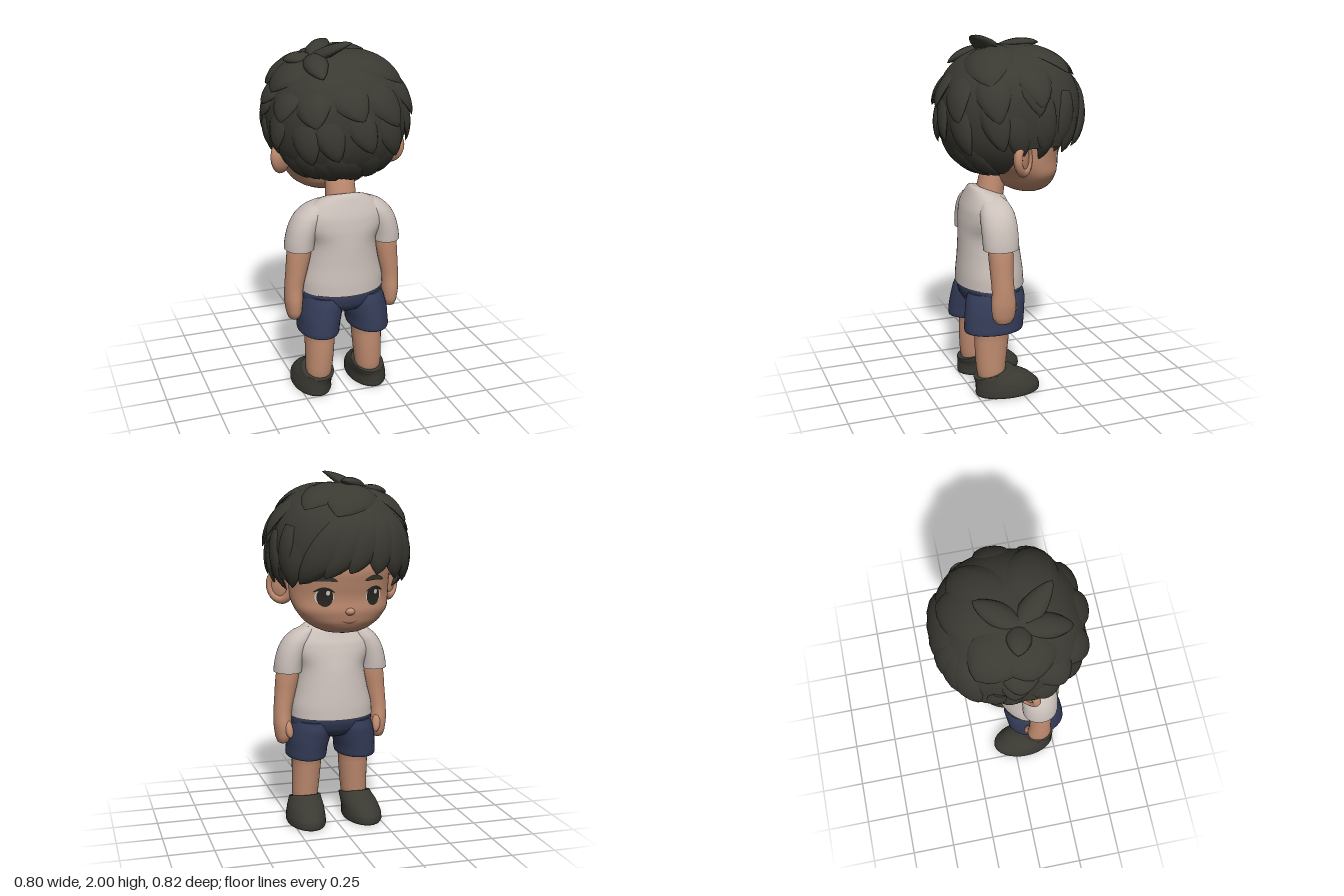
import * as THREE from 'three';
import { toCreasedNormals } from 'three/addons/utils/BufferGeometryUtils.js';

const V = (x, y, z) => new THREE.Vector3(x, y, z);
const paint = (name, color) => Object.assign(new THREE.MeshStandardMaterial({ color }), { name });

// Closed skin over a list of equal-length rings, capped at both ends
function skinRings(rows) {
  const n = rows[0].length, pos = [], idx = [];
  rows.forEach(r => r.forEach(p => pos.push(p.x, p.y, p.z)));
  for (let i = 0; i < rows.length - 1; i++) for (let j = 0; j < n; j++) {
    const a = i * n + j, b = i * n + (j + 1) % n;
    idx.push(a, a + n, b, b, a + n, b + n);
  }
  for (const end of [0, rows.length - 1]) {
    const c = rows[end].reduce((s, p) => s.add(p), V(0, 0, 0)).divideScalar(n);
    const k = pos.length / 3;
    pos.push(c.x, c.y, c.z);
    for (let j = 0; j < n; j++) {
      const a = end * n + j, b = end * n + (j + 1) % n;
      idx.push(k, ...(end === 0 ? [a, b] : [b, a]));
    }
  }
  const g = new THREE.BufferGeometry();
  g.setAttribute('position', new THREE.Float32BufferAttribute(pos, 3));
  g.setIndex(idx);
  return toCreasedNormals(g, 1.0);
}

// Rings are [x, y, z, rx, rz, tilt], listed from bottom to top and smoothed between
function ringCurve(rings) {
  const c = new THREE.CatmullRomCurve3(rings.map(r => V(r[0], r[1], r[2])));
  const s = new THREE.CatmullRomCurve3(rings.map(r => V(r[3], r[4], r[5] || 0)));
  return t => ({ c: c.getPoint(t), s: s.getPoint(t) });
}
function loft(rings, sides = 32, sub = 4) {
  const at = ringCurve(rings), rows = [], steps = (rings.length - 1) * sub;
  for (let i = 0; i <= steps; i++) {
    const { c, s } = at(i / steps), row = [];
    for (let j = 0; j < sides; j++) {
      const a = j / sides * Math.PI * 2, dz = Math.sin(a) * s.y;
      row.push(V(c.x + Math.cos(a) * s.x, c.y + dz * s.z, c.z + dz));
    }
    rows.push(row);
  }
  return skinRings(rows);
}

const HEAD = [
  [0, 1.13, -.12, .03, .025], [0, 1.14, -.11, .1, .08], [0, 1.165, -.1, .16, .125],
  [0, 1.2, -.09, .21, .158], [0, 1.26, -.08, .255, .185], [0, 1.33, -.035, .276, .232],
  [0, 1.4, -.02, .283, .263], [0, 1.5, -.01, .29, .29], [0, 1.65, .015, .28, .265], [0, 1.78, .02, .18, .17],
];
// Depth of the face surface at a given x and y
function faceZ(x, y) {
  const at = ringCurve(HEAD);
  let lo = 0, hi = 1;
  for (let i = 0; i < 24; i++) { const m = (lo + hi) / 2; if (at(m).c.y < y) lo = m; else hi = m; }
  const { c, s } = at(lo);
  return c.z - s.y * Math.sqrt(Math.max(0, 1 - (x / s.x) ** 2));
}
// Thin painted oval lying on the face; bend curves it
function facePatch(cx, cy, rx, ry, off, bend = 0) {
  const g = new THREE.RingGeometry(0.001, 1, 28, 4).rotateY(Math.PI), p = g.attributes.position;
  for (let i = 0; i < p.count; i++) {
    const u = p.getX(i), x = cx + u * rx, y = cy + p.getY(i) * ry + bend * u * u;
    p.setXYZ(i, x, y, faceZ(x, y) - off);
  }
  g.computeVertexNormals();
  return g;
}

// Hair volume: a slightly boxy ellipsoid
const HC = V(0, 1.58, 0), CROWN = V(-.15, .35, .03).normalize();
function hairPoint(d, k = 1) {
  const p = 2.3;
  const s = (Math.abs(d.x / .382) ** p + Math.abs(d.y / .358) ** p + Math.abs(d.z / .387) ** p) ** (-1 / p);
  return d.clone().multiplyScalar(s * k).add(HC);
}
// Azimuth 0 is the back of the head, 180 the face
const direction = (az, el) => {
  const a = az * Math.PI / 180, e = el * Math.PI / 180;
  return V(Math.cos(e) * Math.sin(a), Math.sin(e), Math.cos(e) * Math.cos(a));
};
function hairline(az) {
  const a = Math.abs(((az + 540) % 360) - 180), sm = THREE.MathUtils.smoothstep;
  return -52 + 30 * sm(a, 62, 88) + 14 * sm(a, 112, 160);
}
function hairCap() {
  const rows = [], n = 72, m = 22;
  for (let i = -1; i <= m; i++) {
    const row = [];
    for (let j = 0; j < n; j++) {
      const az = -j / n * 360, low = hairline(az);
      row.push(i < 0 ? hairPoint(direction(az, low), .6)
        : hairPoint(direction(az, low + (89 - low) * i / m), .99));
    }
    rows.push(row);
  }
  return skinRings(rows);
}
// Leaf-shaped lock hugging the hair volume; its root sinks in and its tip lifts off
function hairLock(tip, t0, W, H, lift, sink = 0, from = CROWN) {
  tip = tip.clone().normalize();
  const axis = from.clone().cross(tip).normalize(), ang = from.angleTo(tip), rows = [];
  for (let i = 0; i <= 14; i++) {
    const u = i / 14, d = from.clone().applyAxisAngle(axis, ang * (t0 + (1 - t0) * u));
    const k = Math.max(.01, Math.sin(Math.PI * (.15 + .85 * u))) ** .65, row = [];
    for (let j = 0; j < 12; j++) {
      const b = j / 12 * Math.PI * 2;
      const e = d.clone().addScaledVector(axis, -W * k * Math.cos(b) / .38).normalize();
      row.push(hairPoint(e, .985).addScaledVector(d, H * k * Math.sin(b) + lift * u * u - sink * (1 - u) ** 1.5));
    }
    rows.push(row);
  }
  return skinRings(rows);
}

export function createModel() {
  const skin = paint('skin', 0xc08c70), shirt = paint('shirt cloth', 0xcbc0ba);
  const navy = paint('shorts cloth', 0x343c58), dark = paint('hair and shoes', 0x3a3932);
  const black = paint('eye black', 0x282722), white = paint('eye white', 0xdcd6d2);
  const lip = paint('mouth', 0x744436);
  const model = new THREE.Group();
  const add = (name, geo, mat, parent = model) => {
    const m = new THREE.Mesh(geo, mat);
    m.name = name;
    parent.add(m);
    return m;
  };
  const ball = (name, mat, p, s, parent) => {
    const m = add(name, new THREE.SphereGeometry(1, 24, 16), mat, parent);
    m.position.set(...p);
    m.scale.set(...s);
    return m;
  };

  // Head and face
  add('head', loft(HEAD, 48), skin);
  add('neck', loft([[0, 1.06, .12, .09, .08], [0, 1.15, .105, .085, .077], [0, 1.22, .09, .082, .075], [0, 1.32, .06, .08, .075]]), skin);
  ball('nose', skin, [0, 1.263, -.256], [.027, .021, .028]);
  add('mouth', facePatch(0, 1.2, .04, .004, .004, .012), lip);

  // Torso and shorts, each hem turned inwards
  add('shirtBody', loft([
    [0, .7, .1125, .2, .15], [0, .627, .1125, .228, .178], [0, .62, .1125, .238, .188],
    [0, .68, .113, .234, .185], [0, .78, .115, .21, .175], [0, .9, .122, .192, .163],
    [0, .99, .13, .232, .148], [0, 1.05, .132, .24, .134, .06], [0, 1.105, .13, .198, .112, .18],
    [0, 1.145, .125, .132, .094, .32], [0, 1.157, .125, .08, .078, .34]], 48), shirt);
  add('shortsHips', loft([
    [0, .495, .125, .05, .08], [0, .515, .123, .14, .13], [0, .55, .12, .225, .158],
    [0, .6, .116, .236, .174], [0, .66, .113, .222, .174]], 48), navy);

  for (const s of [1, -1]) {
    const side = s > 0 ? 'left' : 'right';
    const limb = rings => loft(rings.map(([x, ...r]) => [x * s, ...r]));

    // Eyes and brows
    add(side + 'EyeWhite', facePatch(.136 * s, 1.342, .047, .044, .002), white);
    add(side + 'Iris', facePatch(.134 * s, 1.342, .041, .051, .004), black);
    add(side + 'UpperLash', facePatch(.139 * s, 1.388, .053, .008, .006, -.02), black);
    add(side + 'EyeGlint', facePatch(.133 * s - .013, 1.365, .01, .013, .007), white);
    add(side + 'Brow', facePatch(.135 * s, 1.443, .06, .014, .006, -.014), dark);

    // Ear: a rim around a shallow bowl, its lobe leaning in to the cheek
    const ear = new THREE.Group();
    ear.name = side + 'Ear';
    ear.position.set(.314 * s, 1.375, .03);
    ear.rotation.set(0, s * Math.PI * .75, s * .35);
    model.add(ear);
    add('earRim', new THREE.TorusGeometry(.064, .022, 12, 28), skin, ear).scale.set(1, 1.15, 1);
    ball('earBowl', skin, [0, 0, -.012], [.078, .088, .03], ear);

    // Arm
    add(side + 'Sleeve', limb([
      [.24, .95, .132, .06, .07], [.25, .885, .132, .074, .09], [.25, .877, .132, .081, .098],
      [.245, .92, .132, .082, .1], [.222, 1.0, .132, .085, .1], [.19, 1.06, .131, .085, .094],
      [.155, 1.108, .13, .066, .074], [.12, 1.135, .13, .035, .045]]), shirt);
    add(side + 'Arm', limb([
      [.285, .457, .13, .012, .018], [.284, .467, .13, .03, .044], [.284, .5, .13, .042, .063],
      [.285, .57, .13, .05, .07], [.282, .65, .132, .052, .063], [.267, .75, .135, .06, .064],
      [.252, .85, .135, .067, .068], [.24, .95, .135, .06, .065]]), skin);
    const thumb = ball(side + 'Thumb', skin, [.262 * s, .555, .075], [.024, .058, .026]);
    thumb.rotation.set(.3, 0, -.15 * s);

    // Leg
    add(side + 'ShortsLeg', limb([
      [.14, .47, .14, .085, .12], [.147, .395, .139, .105, .155], [.147, .38, .139, .112, .165],
      [.146, .395, .138, .116, .17], [.143, .43, .135, .116, .171], [.134, .49, .128, .122, .171],
      [.122, .55, .12, .12, .17], [.118, .6, .115, .105, .158]]), navy);
    add(side + 'Leg', limb([
      [.15, .08, .155, .066, .072], [.148, .14, .157, .075, .082], [.143, .25, .154, .081, .092],
      [.14, .35, .148, .085, .098], [.14, .49, .14, .085, .098]]), skin);
    add(side + 'Shoe', limb([
      [.168, 0, .063, .106, .184], [.168, .012, .063, .11, .189], [.167, .045, .066, .108, .186],
      [.161, .085, .094, .102, .158, -.08], [.154, .113, .135, .094, .12, -.2],
      [.151, .13, .15, .087, .104, -.26], [.151, .128, .15, .07, .085, -.26]]), dark);
  }

  // Hair: cap plus overlapping rows of locks
  const hair = new THREE.Group();
  hair.name = 'hair';
  model.add(hair);
  add('hairCap', hairCap(), dark, hair);
  const lock = (name, ...shape) => add(name, hairLock(...shape), dark, hair);
  let seed = 7;
  const rnd = () => (seed = (seed * 16807) % 2147483647) / 2147483647 - .5;
  // Row: [lock count, elevation above hairline, share of hairline shape, start, width, thickness, lift]
  const lockRows = [
    [18, -5, 1, .6, .08, .024, .004], [13, 17, .75, .55, .085, .026, .022], [11, 18, .3, .5, .1, .026, .03],
  ];
  lockRows.forEach(([n, el, share, t0, W, H, lift], r) => {
    for (let i = 0; i < n; i++) {
      const az = (i + (r % 2) * .5 + rnd() * .45) / n * 360;
      if (Math.abs(az - 180) < 55) continue;
      const tip = direction(az, hairline(az) * share + el + rnd() * 10);
      lock('hairLock', tip, t0, W, H, lift, .045);
    }
  });
  // Fringe swept both ways from an off-centre parting, as [azimuth, elevation]
  const parting = direction(-152, 42);
  const fringe = [[-163, -16], [175, -15], [155, -18], [133, -23], [-143, -20], [-124, -24]];
  for (const [az, el] of fringe) lock('fringeLock', direction(az, el), .15, .1, .034, .008, .02, parting);
  // Sideburns, broad sweeping locks and raised crown tufts
  for (const s of [1, -1]) for (const [az, el] of [[102, -35], [116, -28]])
    lock('sideburn', direction(az * s, el), .65, .055, .022, -.015);
  const sweeps = [[.27, .25, -.28], [.33, .2, .22], [.1, .2, -.36], [-.28, .14, -.2], [-.36, .15, .05]];
  for (const p of sweeps) lock('sweepLock', V(...p), .1, .16, .028, .014, .03);
  const tufts = [[.02, .4, .21, .095], [.01, .38, -.18, .035], [-.29, .31, -.01, .03], [-.17, .27, .31, .02]];
  for (const [x, y, z, lift] of tufts) lock('crownTuft', V(x, y, z), .05, .066, .036, lift, .02);

  return model;
}
